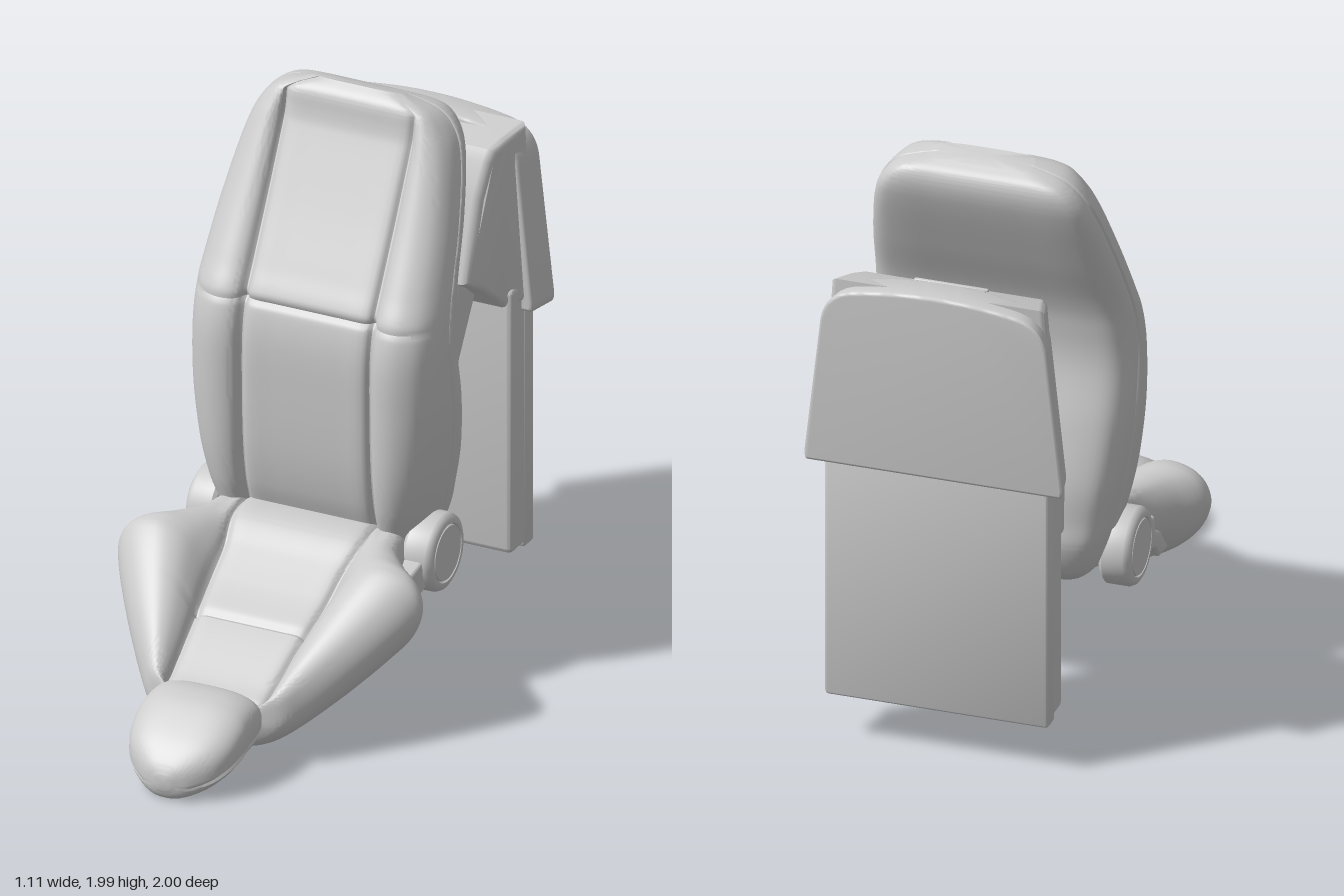
import * as THREE from 'three';
import { toCreasedNormals } from 'three/addons/utils/BufferGeometryUtils.js';
import { RoundedBoxGeometry } from 'three/addons/geometries/RoundedBoxGeometry.js';

const material = new THREE.MeshStandardMaterial({ color: 0xcccccc });
const mix = THREE.MathUtils.lerp;
const dip = (v, at, depth) => depth * Math.exp(-(((v - at) / 0.009) ** 2));

function add(parent, name, geometry, crease = 0.6) {
  const mesh = new THREE.Mesh(toCreasedNormals(geometry, crease), material);
  mesh.name = name;
  parent.add(mesh);
  return mesh;
}

// Smooth interpolation down the columns of a table of key sections
function sampleRows(rows, count) {
  const out = [];
  for (let i = 0; i <= count; i++) {
    const u = (i / count) * (rows.length - 1);
    const k = Math.min(Math.floor(u), rows.length - 2);
    const t = u - k;
    const row = (j) => rows[THREE.MathUtils.clamp(j, 0, rows.length - 1)];
    out.push(rows[k].map((b, c) => {
      const a = row(k - 1)[c], d = row(k + 1)[c], e = row(k + 2)[c];
      return b + 0.5 * t * (d - a + t * (2 * a - 5 * b + 4 * d - e + t * (3 * (b - d) + e - a)));
    }));
  }
  return out;
}

// Half outline (centre to centre, x >= 0) smoothed and mirrored into a ring of [x, v]
function mirrorRing(half, n) {
  const curve = new THREE.CatmullRomCurve3(half.map(([x, v]) => new THREE.Vector3(x, v, 0)));
  const pts = curve.getPoints(n).map((p) => [p.x, p.y]);
  return pts.concat(pts.slice(1, -1).reverse().map(([x, v]) => [-x, v]));
}

// Closed skin through rings of points, capped at both ends and turned outward
function loft(rings) {
  const n = rings[0].length, pos = [], idx = [];
  rings.forEach((r) => r.forEach((p) => pos.push(...p)));
  for (let i = 0; i < rings.length - 1; i++) {
    for (let j = 0; j < n; j++) {
      const a = i * n + j, b = i * n + ((j + 1) % n);
      idx.push(a, b, a + n, b, b + n, a + n);
    }
  }
  [0, rings.length - 1].forEach((i) => {
    const c = [0, 1, 2].map((k) => rings[i].reduce((s, p) => s + p[k], 0) / n);
    const ci = pos.length / 3;
    pos.push(...c);
    for (let j = 0; j < n; j++) {
      const a = i * n + j, b = i * n + ((j + 1) % n);
      if (i) idx.push(a, b, ci); else idx.push(b, a, ci);
    }
  });
  let volume = 0;
  const at = (i) => new THREE.Vector3(...pos.slice(3 * i, 3 * i + 3));
  for (let i = 0; i < idx.length; i += 3) volume += at(idx[i]).dot(at(idx[i + 1]).cross(at(idx[i + 2])));
  if (volume < 0) idx.reverse();
  const g = new THREE.BufferGeometry();
  g.setAttribute('position', new THREE.Float32BufferAttribute(pos, 3));
  g.setIndex(idx);
  return g;
}

// Side profile of [z, y] points, extruded across x to a half width that may vary
function sideExtrude(profile, bevel, halfWidth) {
  const g = new THREE.ExtrudeGeometry(new THREE.Shape(profile.map((p) => new THREE.Vector2(...p))), {
    depth: 2 - 2 * bevel, bevelSize: bevel, bevelThickness: bevel, bevelOffset: -bevel, bevelSegments: 4,
  });
  g.translate(0, 0, bevel - 1).rotateY(-Math.PI / 2);
  const p = g.attributes.position;
  for (let i = 0; i < p.count; i++) {
    const x = p.getX(i), w = halfWidth(p.getZ(i), p.getY(i));
    p.setX(i, Math.sign(x) * (w - (1 - Math.abs(x))));
  }
  return g;
}

// Backrest: tilted sections given as front z, front y, back z, back y, half width
function backrest() {
  const rows = [
    [-0.14, 0.40, -0.33, 0.385, 0.27], [-0.10, 0.46, -0.41, 0.45, 0.34],
    [-0.07, 0.56, -0.455, 0.56, 0.38], [-0.04, 0.66, -0.455, 0.66, 0.405],
    [-0.02, 0.8, -0.45, 0.8, 0.43], [-0.012, 1.0, -0.41, 1.0, 0.45],
    [-0.015, 1.2, -0.36, 1.2, 0.452], [-0.045, 1.33, -0.36, 1.34, 0.448],
    [-0.10, 1.43, -0.385, 1.45, 0.44], [-0.2, 1.61, -0.46, 1.62, 0.42],
    [-0.3, 1.8, -0.535, 1.8, 0.385], [-0.35, 1.9, -0.56, 1.89, 0.345],
    [-0.385, 1.965, -0.55, 1.945, 0.28], [-0.43, 2.0, -0.51, 1.975, 0.17],
  ];
  return loft(sampleRows(rows, 130).map(([zf, yf, zb, yb, w]) => {
    const D = Math.hypot(zf - zb, yf - yb), k = Math.min(1, D / 0.3);
    const c = Math.min(0.235, 0.8 * w), s = w - c;
    const fade = THREE.MathUtils.smoothstep(2 - yf, 0, 0.15);
    const r = 0.03 * fade + dip(yf, 1.32, 0.014), q = dip(yf, 1.32, 0.006);
    const half = [
      [0, r], [c * 0.5, r], [c - 0.02, r + 0.003], [c, r + 0.022 * k], [c + s * 0.12, r * 0.6],
      [c + s * 0.3, 0.004 + q], [c + s * 0.52, 0.008 + q], [c + s * 0.78, 0.04 * k + q],
      [c + s * 0.95, 0.1 * k], [w, 0.16 * k], [w, D * 0.56], [w - 0.01, D * 0.59], [w - 0.002, D * 0.62],
      [w - s * 0.06, D * 0.8], [w - s * 0.25, D * 0.93], [w - s * 0.65, D * 0.99], [c * 0.6, D], [0, D],
    ];
    return mirrorRing(half, 72).map(([x, d]) => [x, mix(yf, yb, d / D), mix(zf, zb, d / D)]);
  }));
}

// Seat: z, half width, height of widest point, underside, bolster top, centre height, crease x
function seat() {
  const rows = [
    [0.635, 0.17, 0.16, 0.11, 0.21, 0.19, 0.14], [0.61, 0.245, 0.18, 0.05, 0.26, 0.22, 0.18],
    [0.55, 0.305, 0.22, 0.03, 0.315, 0.25, 0.185], [0.4, 0.43, 0.34, 0.075, 0.445, 0.335, 0.195],
    [0.25, 0.535, 0.45, 0.14, 0.567, 0.41, 0.21], [0.18, 0.55, 0.48, 0.165, 0.597, 0.45, 0.215],
    [0.1, 0.47, 0.48, 0.2, 0.59, 0.5, 0.22], [0, 0.385, 0.47, 0.24, 0.58, 0.565, 0.24],
    [-0.1, 0.355, 0.46, 0.285, 0.58, 0.58, 0.24], [-0.25, 0.34, 0.45, 0.345, 0.56, 0.56, 0.24],
    [-0.38, 0.29, 0.49, 0.43, 0.54, 0.54, 0.2],
  ];
  return loft(sampleRows(rows, 110).map(([z, w, yw, bot, top, mid, c]) => {
    const half = [], s = w - c, y = mid - dip(z, 0.34, 0.012);
    for (let i = 0; i <= 8; i++) {
      const a = (i / 8) * Math.PI / 2;
      half.push([w * Math.sin(a), yw - (yw - bot) * Math.cos(a)]);
    }
    half.push([w - s * 0.06, mix(yw, top, 0.5)], [w - s * 0.2, mix(yw, top, 0.85)], [c + s * 0.55, top],
      [c + s * 0.3, mix(y, top, 0.8)], [c + s * 0.1, mix(y, top, 0.3)], [c, y - 0.014], [c - 0.02, y],
      [c * 0.5, y + 0.003], [0, y + 0.003]);
    return mirrorRing(half, 72).map(([x, v]) => [x, v, z]);
  }));
}

// Front pad: z, half width, underside, top; a shallow seam runs round its sides
function frontPad() {
  const rows = [
    [0.64, 0.16, 0.19, 0.25], [0.655, 0.193, 0.1, 0.277], [0.7, 0.2, 0.06, 0.288],
    [0.75, 0.2, 0.048, 0.285], [0.8, 0.2, 0.038, 0.268], [0.87, 0.186, 0.025, 0.228],
    [0.93, 0.15, 0.012, 0.185], [0.98, 0.085, 0.01, 0.135], [1.0, 0.03, 0.045, 0.1],
  ];
  return loft(sampleRows(rows, 48).map(([z, w, bot, top]) => Array.from({ length: 64 }, (_, i) => {
    const a = (i / 64) * Math.PI * 2, cs = Math.cos(a), sn = Math.sin(a);
    const e = sn > 0 ? 0.7 : 0.88, seam = i === 62 || i === 34 ? 0.95 : 1;
    return [Math.sign(cs) * w * seam * Math.abs(cs) ** e,
      (bot + top) / 2 + Math.sign(sn) * (top - bot) / 2 * Math.abs(sn) ** e, z];
  })));
}

// Back cover: tapered plate with an arched top, narrowing toward its front face
function backCover() {
  const s = new THREE.Shape();
  s.moveTo(-0.44, 1.05).lineTo(0.44, 1.05).quadraticCurveTo(0.452, 1.05, 0.45, 1.09);
  s.lineTo(0.395, 1.58).quadraticCurveTo(0.38, 1.68, 0.28, 1.697).quadraticCurveTo(0.14, 1.722, 0, 1.722);
  s.quadraticCurveTo(-0.14, 1.722, -0.28, 1.697).quadraticCurveTo(-0.38, 1.68, -0.395, 1.58);
  s.lineTo(-0.45, 1.09).quadraticCurveTo(-0.452, 1.05, -0.44, 1.05);
  const g = new THREE.ExtrudeGeometry(s, {
    depth: 0.1, bevelSize: 0.012, bevelThickness: 0.01, bevelOffset: -0.012, bevelSegments: 3, curveSegments: 10,
  }).translate(0, 0, -0.99);
  const p = g.attributes.position;
  for (let i = 0; i < p.count; i++) p.setX(i, p.getX(i) * (1 - 0.5 * (p.getZ(i) + 1)));
  return g;
}

export function createModel() {
  const model = new THREE.Group();
  model.name = 'mountedSeat';
  add(model, 'backrest', backrest());
  add(model, 'seat', seat());
  add(model, 'frontPad', frontPad());
  add(model, 'frontPadPost', new RoundedBoxGeometry(0.07, 0.085, 0.1, 3, 0.015)).position.set(0, 0.175, 0.645);

  // Wall mount: bent arm, housing, cover and panel
  add(model, 'mountArm', sideExtrude([[-0.4, 0.62], [-0.53, 0.615], [-0.575, 0.64], [-0.6, 0.7], [-0.63, 0.83],
    [-0.67, 0.94], [-0.8, 1.15], [-0.8, 1.3], [-0.68, 1.32], [-0.63, 1.22], [-0.57, 1.06], [-0.53, 0.93],
    [-0.51, 0.86], [-0.48, 0.875], [-0.4, 0.875]], 0.03, () => 0.27));
  add(model, 'mountHousing', sideExtrude([[-0.632, 1.235], [-0.7, 1.19], [-0.76, 1.14], [-0.81, 1.085], [-0.95, 1.085],
    [-0.95, 1.712], [-0.85, 1.69], [-0.79, 1.668], [-0.765, 1.63], [-0.72, 1.51], [-0.68, 1.39]], 0.025,
  (z, y) => 0.28 + (-0.63 - z) * 0.3 + Math.max(0, 1.5 - y) * 0.1));
  add(model, 'backCover', backCover());
  add(model, 'panelBack', new RoundedBoxGeometry(0.78, 0.98, 0.07, 3, 0.015)).position.set(0, 0.66, -0.932);
  add(model, 'panelFront', new RoundedBoxGeometry(0.77, 0.97, 0.11, 3, 0.02)).position.set(0, 0.667, -0.862);
  for (let i = 0; i < 3; i++) {
    const vent = add(model, 'ventSlat', new RoundedBoxGeometry(0.26, 0.016, 0.016, 2, 0.006));
    vent.position.set(0, 1.677 + i * 0.008, -0.81 - i * 0.033);
  }

  // Recliner hubs and levers on both sides
  const hubProfile = [[0, 0], [0.125, 0], [0.135, 0.012], [0.135, 0.085], [0.128, 0.1], [0.115, 0.108],
    [0.102, 0.108], [0.098, 0.1], [0.094, 0.108], [0, 0.11]].map((p) => new THREE.Vector2(...p));
  for (const side of [1, -1]) {
    const hub = add(model, side > 0 ? 'leftHub' : 'rightHub', new THREE.LatheGeometry(hubProfile, 48));
    hub.rotation.z = -side * Math.PI / 2;
    hub.position.set(side * 0.345, 0.48, -0.2);
    const lever = add(model, side > 0 ? 'leftLever' : 'rightLever', sideExtrude([[0.17, 0.3], [0.08, 0.4], [0.03, 0.42],
      [0.02, 0.48], [-0.09, 0.5], [-0.12, 0.4], [0.02, 0.36], [0.07, 0.305]], 0.012, () => 0.05));
    lever.position.x = side * 0.375;
  }
  return model;
}
